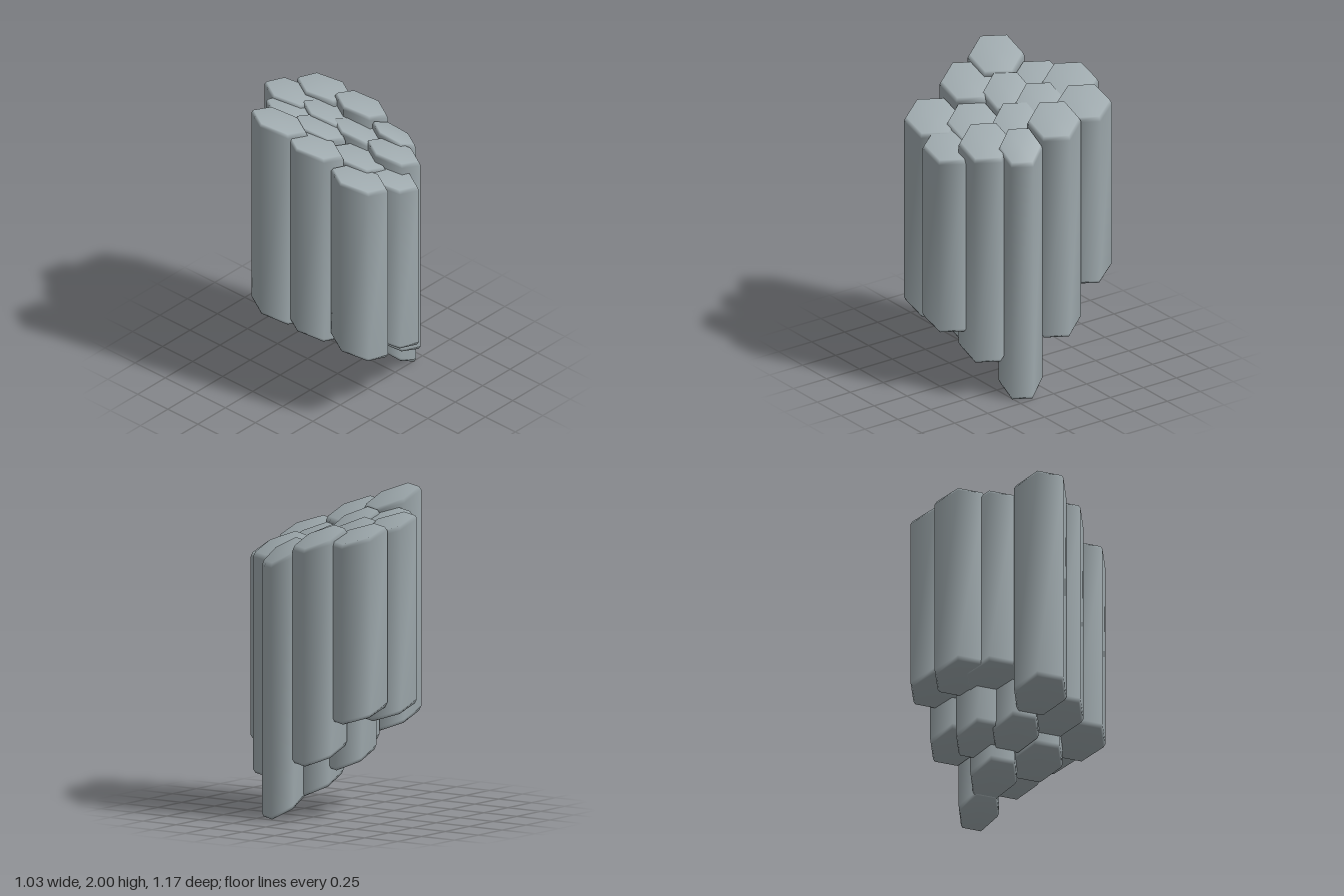
import * as THREE from 'three';

// centre x, centre z, radius, bottom height, top height (at the column axis)
const COLUMNS = [
  [-0.342, -0.172, 0.177, 0.55, 1.944],
  [0.067, -0.437, 0.177, 0.68, 1.848],
  [0.295, -0.375, 0.177, 0.68, 1.80],
  [-0.07, -0.30, 0.177, 0.69, 1.845],
  [0.111, -0.181, 0.16, 0.365, 1.79],
  [0.345, -0.116, 0.167, 0.41, 1.765],
  [-0.08, -0.069, 0.158, 0.40, 1.82],
  [-0.289, 0.078, 0.178, 0.51, 1.85],
  [0.158, 0.031, 0.158, 0.195, 1.725],
  [0.355, 0.147, 0.136, 0.065, 1.66],
  [-0.04, 0.215, 0.17, 0.32, 1.705],
  [0.192, 0.292, 0.169, 0.295, 1.67],
  [-0.227, 0.39, 0.18, 0.475, 1.712],
  [0.017, 0.434, 0.172, 0.465, 1.625],
];
const SIDES = 6;
const BEVEL = 0.025;

// Hexagonal prism with parallel sloping ends and softened rims
function columnGeometry(r, bottom, top) {
  const drop = 0.044 * (top - bottom);
  const rings = [
    [0, bottom], [0.92, bottom], [1, bottom + BEVEL],
    [1, top - BEVEL], [0.92, top], [0, top],
  ];
  const positions = [];
  const index = [];
  for (const [scale, y] of rings) {
    const count = scale ? SIDES : 1;
    for (let i = 0; i < count; i++) {
      const t = (i / SIDES) * Math.PI * 2;
      const x = Math.cos(t) * scale;
      const z = Math.sin(t) * scale;
      // ends fall towards +x and, less, towards +z
      positions.push(x * r, y - drop * (x + z * 0.577), z * r);
    }
  }
  const last = 1 + 4 * SIDES;
  for (let i = 0; i < SIDES; i++) {
    const j = (i + 1) % SIDES;
    index.push(0, 1 + i, 1 + j);
    for (let k = 0; k < 3; k++) {
      const a = 1 + k * SIDES;
      const b = a + SIDES;
      index.push(a + i, b + i, a + j, a + j, b + i, b + j);
    }
    index.push(last, last - SIDES + j, last - SIDES + i);
  }
  const geometry = new THREE.BufferGeometry();
  geometry.setAttribute('position', new THREE.Float32BufferAttribute(positions, 3));
  geometry.setIndex(index);
  geometry.computeVertexNormals();
  return geometry;
}

export function createModel() {
  const group = new THREE.Group();
  group.name = 'rockColumns';
  const stone = new THREE.MeshStandardMaterial({ color: 0x9faaae });
  stone.name = 'blue grey stone';
  COLUMNS.forEach(([x, z, r, bottom, top], i) => {
    const column = new THREE.Mesh(columnGeometry(r, bottom, top), stone);
    column.name = `stoneColumn${i + 1}`;
    column.position.set(x, 0, z);
    group.add(column);
  });
  return group;
}
